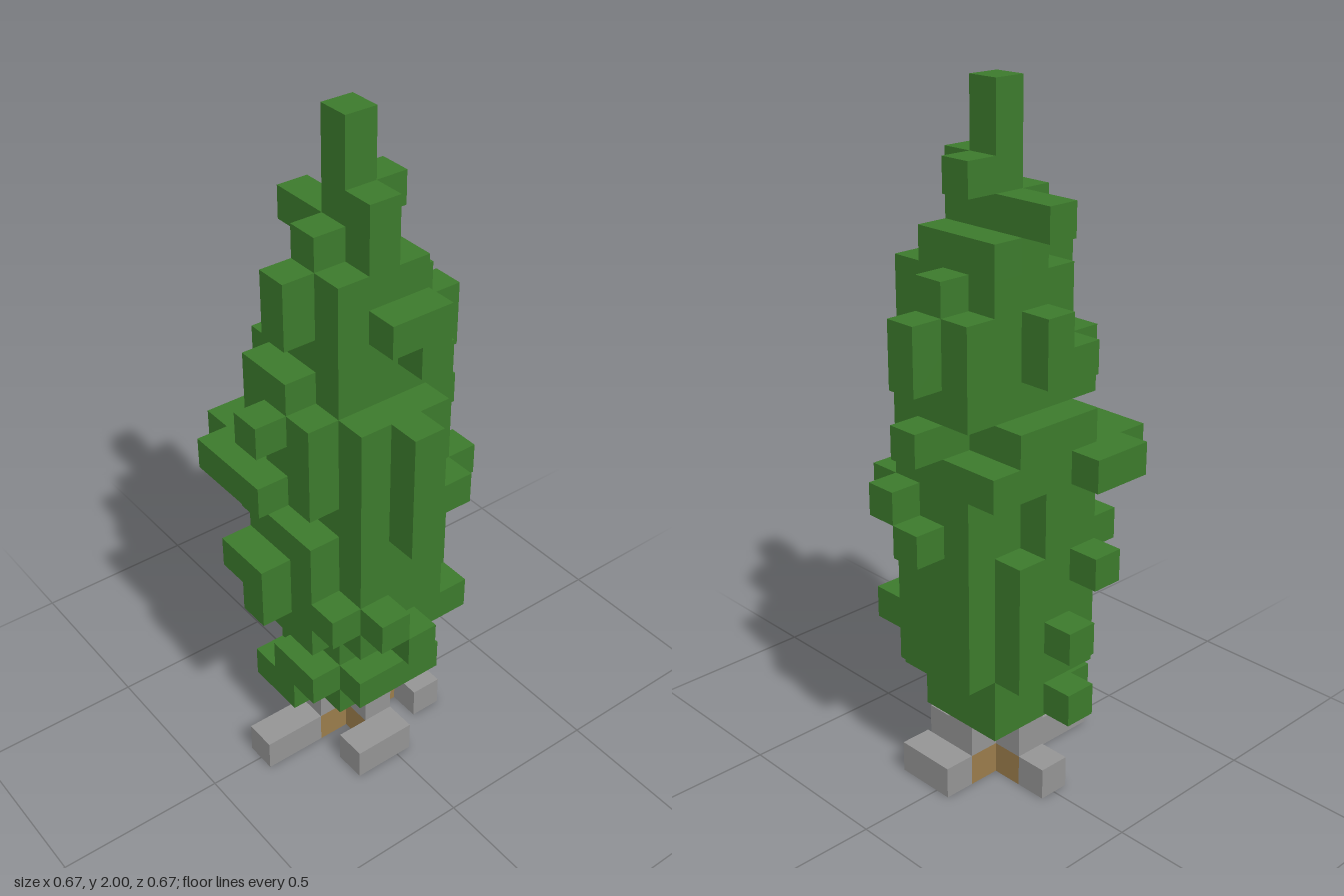
import * as THREE from 'three';
import { mergeGeometries } from 'three/addons/utils/BufferGeometryUtils.js';

const U = 2 / 21; // edge of one cube
const key = (x, y, z) => `${x},${y},${z}`;

// Set of cubes that can be filled in blocks and turned into an outer shell
class Cubes {
  constructor() { this.cells = new Map(); }
  block(y, x0, x1, z0, z1, keep = () => true) {
    for (let x = x0; x <= x1; x++)
      for (let z = z0; z <= z1; z++)
        if (keep(x, z)) this.cells.set(key(x, y, z), [x, y, z]);
    return this;
  }
  mesh(name, material) {
    const faces = [];
    const target = new THREE.Object3D();
    for (const [x, y, z] of this.cells.values())
      for (const [i, j, k] of [[1, 0, 0], [-1, 0, 0], [0, 1, 0], [0, -1, 0], [0, 0, 1], [0, 0, -1]]) {
        if (this.cells.has(key(x + i, y + j, z + k))) continue;
        target.position.set(x + i / 2, y + 0.5 + j / 2, z + k / 2).multiplyScalar(U);
        target.rotation.set(-j * Math.PI / 2, i ? i * Math.PI / 2 : (k < 0 ? Math.PI : 0), 0);
        target.updateMatrix();
        faces.push(new THREE.PlaneGeometry(U, U).applyMatrix4(target.matrix));
      }
    const mesh = new THREE.Mesh(mergeGeometries(faces), material);
    mesh.name = name;
    return mesh;
  }
}

export function createModel() {
  const tree = new THREE.Group();
  tree.name = 'tree';
  const mat = (name, color) => new THREE.MeshStandardMaterial({ name, color });
  const green = mat('leaf green', 0x3c7a2c);
  const grey = mat('stone grey', 0x949494);
  const brown = mat('wood brown', 0x9a7c4b);

  // Wooden cross at the foot of the trunk
  const wood = new Cubes().block(0, -1, 1, 0, 0).block(0, 0, 0, -1, 1);
  tree.add(wood.mesh('trunkFoot', brown));

  // Grey feet around it, and the grey cross on top
  const stone = new Cubes()
    .block(0, 0, 0, 2, 3)
    .block(0, 2, 2, 0, 1)
    .block(0, 0, 1, -2, -2)
    .block(0, -2, -2, 0, 0)
    .block(1, -1, 1, 0, 0)
    .block(1, 0, 0, -1, 1);
  tree.add(stone.mesh('baseStones', grey));

  // Foliage: each layer is a rounded core plus tufts, given as x0, x1, z0, z1
  const leaves = new Cubes();
  const layer = (y, core, ...tufts) => {
    leaves.block(y, ...core, (x, z) => Math.abs(x) + Math.abs(z) <= 3);
    tufts.forEach((t) => leaves.block(y, ...t));
  };
  layer(2, [-1, 1, -1, 1], [-1, 0, 2, 2]);
  layer(3, [-1, 1, -1, 1], [2, 2, -1, 1], [0, 1, 2, 2], [-3, -3, 0, 0]);
  layer(4, [-2, 1, -2, 1]);
  layer(5, [-2, 2, -2, 2], [-3, -3, 0, 0], [3, 3, 0, 0], [2, 2, -2, -2]);
  layer(6, [-2, 2, -2, 2], [0, 0, 3, 3], [2, 2, 2, 2], [3, 3, 1, 1]);
  layer(7, [-2, 2, -2, 2], [-1, 0, 3, 3], [-3, -3, 1, 1]);
  layer(8, [-1, 2, -2, 2], [-2, -2, 0, 1], [0, 0, -3, -3]);
  layer(9, [-1, 2, -2, 1], [-2, -2, 0, 1], [1, 1, -3, -3], [2, 2, -2, -2], [3, 3, 0, 0]);
  layer(10, [-2, 2, -2, 2], [-2, 0, 3, 3], [-3, -3, 1, 2], [-2, -2, 2, 2], [-2, -2, -2, -2], [3, 3, 0, 0]);
  layer(11, [-2, 2, -1, 1], [0, 1, -2, -2], [0, 1, 2, 2], [0, 0, -3, -3], [3, 3, 0, 0]);
  layer(12, [-1, 1, -2, 2], [0, 0, 3, 3], [2, 2, -1, 1], [3, 3, 0, 0]);
  layer(13, [-1, 1, -2, 1], [-1, 0, 2, 2], [-2, -2, 0, 1], [0, 0, -3, -3]);
  layer(14, [-1, 1, -1, 1], [-1, 0, -2, -2], [-2, -2, 0, 0], [2, 2, -1, -1], [0, 0, -3, -3]);
  layer(15, [-1, 1, -1, 1], [2, 2, -1, 0], [0, 0, 2, 2], [0, 0, -2, -2]);
  layer(16, [-1, 1, -1, 0], [0, 1, 1, 1], [0, 0, 2, 2]);
  layer(17, [-2, 1, 0, 0], [0, 0, 1, 1]);
  layer(18, [0, 1, 0, 0], [0, 0, -1, -1]);
  layer(19, [0, 0, 0, 0]);
  layer(20, [0, 0, 0, 0]);
  tree.add(leaves.mesh('foliage', green));

  return tree;
}
